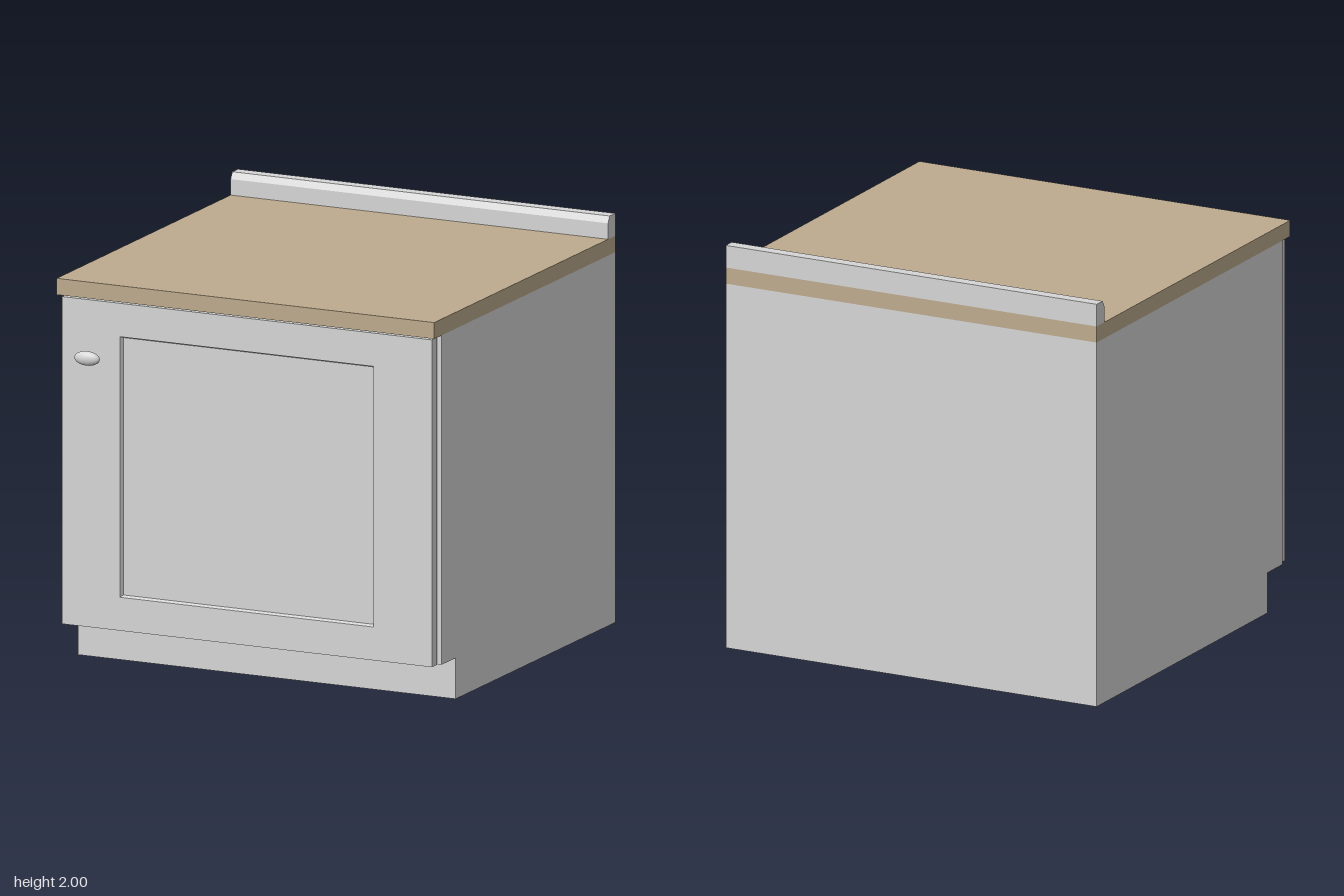
import * as THREE from 'three';

const paint = new THREE.MeshStandardMaterial({ color: 0xd6d6d6 });
paint.name = 'grey paint';
const wood = new THREE.MeshStandardMaterial({ color: 0xbdab8e });
wood.name = 'tan worktop';

function add(parent, name, geometry, material) {
  const mesh = new THREE.Mesh(geometry, material);
  mesh.name = name;
  parent.add(mesh);
  return mesh;
}

// Box given by its minimum and maximum corners
function box(x0, x1, y0, y1, z0, z1) {
  return new THREE.BoxGeometry(x1 - x0, y1 - y0, z1 - z0)
    .translate((x0 + x1) / 2, (y0 + y1) / 2, (z0 + z1) / 2);
}

// Side profile of [z, y] points, extruded over the full width
function sideExtrude(points) {
  const shape = new THREE.Shape(points.map(([z, y]) => new THREE.Vector2(-z, y)));
  return new THREE.ExtrudeGeometry(shape, { depth: 2, bevelEnabled: false })
    .translate(0, 0, -1).rotateY(Math.PI / 2);
}

// Rectangle corners, counterclockwise, about the door centre
const rect = (w, h) => [[-w, -h], [w, -h], [w, h], [-w, h]].map(([x, y]) => new THREE.Vector2(x, y));

// Sloping rim between a front and a back rectangle, facing inward
function rim(front, back, zFront, zBack) {
  const pos = [];
  for (let i = 0; i < 4; i++) {
    const j = (i + 1) % 4;
    const a = [front[i].x, front[i].y, zFront], b = [front[j].x, front[j].y, zFront];
    const c = [back[j].x, back[j].y, zBack], d = [back[i].x, back[i].y, zBack];
    pos.push(...a, ...b, ...c, ...a, ...c, ...d);
  }
  const g = new THREE.BufferGeometry();
  g.setAttribute('position', new THREE.Float32BufferAttribute(pos, 3));
  g.computeVertexNormals();
  return g;
}

function createDoor() {
  const door = new THREE.Group();
  door.name = 'door';
  const front = rect(0.672, 0.637), back = rect(0.664, 0.629);
  add(door, 'doorPanel', box(-0.98, 0.98, -0.8, 0.8, 0.867, 0.905), paint);
  const frame = new THREE.Shape(rect(0.98, 0.8));
  frame.holes.push(new THREE.Path(front));
  add(door, 'doorFrame',
    new THREE.ExtrudeGeometry(frame, { depth: 0.02, bevelEnabled: false }).translate(0, 0, 0.905), paint);
  add(door, 'panelMoulding', rim(front, back, 0.925, 0.905), paint);
  door.position.y = 1;
  return door;
}

// Oval knob on a flared stem, turned about z
function createKnob() {
  const points = [[0.018, 0], [0.012, 0.008], [0.012, 0.016], [0.02, 0.022]];
  for (let i = 0; i <= 10; i++) {
    const a = -0.9 + (i / 10) * (0.9 + Math.PI / 2);
    points.push([0.035 * Math.cos(a), 0.048 + 0.027 * Math.sin(a)]);
  }
  points[points.length - 1][0] = 0;
  const g = new THREE.LatheGeometry(points.map(([r, y]) => new THREE.Vector2(r, y)), 32)
    .rotateX(Math.PI / 2).scale(1.9, 1, 1).translate(-0.823, 1.525, 0.925);
  return g;
}

export function createModel() {
  const model = new THREE.Group();
  model.name = 'baseCabinet';
  // Carcass with recessed toe kick
  add(model, 'carcass', sideExtrude([
    [-1, 0], [-1, 1.81], [0.86, 1.81], [0.86, 0.2], [0.71, 0.2], [0.71, 0],
  ]), paint);
  model.add(createDoor());
  add(model, 'knob', createKnob(), paint);
  add(model, 'worktop', box(-1, 1, 1.81, 1.89, -1, 0.94), wood);
  // Backsplash with chamfered front edge
  add(model, 'backsplash', sideExtrude([
    [-1, 1.89], [-1, 2], [-0.94, 2], [-0.922, 1.968], [-0.922, 1.89],
  ]), paint);
  return model;
}
